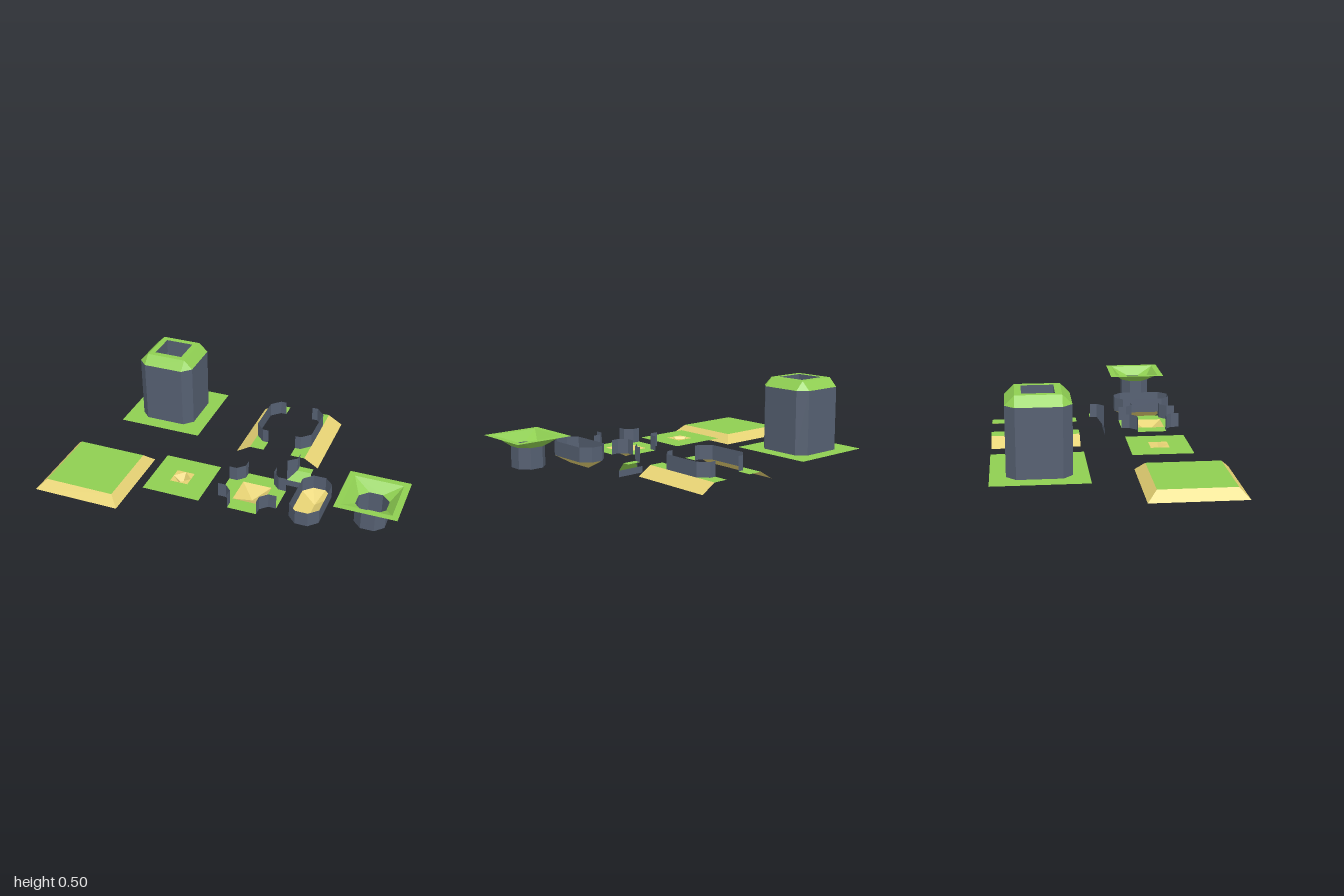
import * as THREE from 'three';

const LOW = 0.037, GROUND = 0.087, WALL = 0.17;
const GREEN = 0x8fcf52, SAND = 0xe6d274, SLATE = 0x566072;

const mat = (color) => new THREE.MeshStandardMaterial({ color, flatShading: true, side: THREE.DoubleSide });

function add(group, name, color, geometry) {
  const mesh = new THREE.Mesh(geometry, mat(color));
  mesh.name = name;
  group.add(mesh);
}

// Flat-sided surface from convex polygons, each a loop of [x, y, z]
function faces(polygons) {
  const pos = [];
  for (const p of polygons)
    for (let i = 1; i < p.length - 1; i++) pos.push(...p[0], ...p[i], ...p[i + 1]);
  const g = new THREE.BufferGeometry();
  g.setAttribute('position', new THREE.Float32BufferAttribute(pos, 3));
  g.computeVertexNormals();
  return g;
}

// Horizontal sheet with holes; outlines are loops of [x, z]
function sheet(outline, y, holes = []) {
  const pts = (loop) => loop.map(([x, z]) => new THREE.Vector2(x, -z));
  const shape = new THREE.Shape(pts(outline));
  holes.forEach((h) => shape.holes.push(new THREE.Path(pts(h))));
  return new THREE.ShapeGeometry(shape).rotateX(-Math.PI / 2).translate(0, y, 0);
}

// Band between a lower and an upper path with equal point counts
function band(lower, y0, upper, y1, closed = true) {
  const n = lower.length, polys = [];
  for (let i = 0; i < (closed ? n : n - 1); i++) {
    const j = (i + 1) % n, a = lower[i], b = lower[j], c = upper[j], d = upper[i];
    polys.push([[a[0], y0, a[1]], [b[0], y0, b[1]], [c[0], y1, c[1]]]);
    polys.push([[a[0], y0, a[1]], [c[0], y1, c[1]], [d[0], y1, d[1]]]);
  }
  return faces(polys);
}
const wall = (path, y0, y1, closed = true) => band(path, y0, path, y1, closed);

// Loops run +z, +x, -z, -x so that bands face outward
const rect = (hx, hz = hx) => [[-hx, hz], [hx, hz], [hx, -hz], [-hx, -hz]];
const octagon = (hx, hz, c) => [
  [-hx + c, hz], [hx - c, hz], [hx, hz - c], [hx, -hz + c],
  [hx - c, -hz], [-hx + c, -hz], [-hx, -hz + c], [-hx, hz - c]];
// Square with every corner doubled, to join onto an octagon
const doubled = (h) => [[-h, h], [h, h], [h, h], [h, -h], [h, -h], [-h, -h], [-h, -h], [-h, h]];
// Inverted pyramid below a rim
const pit = (rim, y0, y1) => faces(rim.map((p, i) => {
  const q = rim[(i + 1) % rim.length];
  return [[p[0], y1, p[1]], [q[0], y1, q[1]], [0, y0, 0]];
}));

function part(root, name, x, z) {
  const g = new THREE.Group();
  g.name = name;
  g.position.set(x, 0, z);
  root.add(g);
  return g;
}

export function createModel() {
  const root = new THREE.Group();
  root.name = 'terrainTileKit';

  // Raised plateau with sloping banks
  const plateau = part(root, 'plateau', -0.75, 0.373);
  add(plateau, 'plateauTop', GREEN, sheet(rect(0.2), GROUND));
  add(plateau, 'plateauBanks', SAND, band(rect(0.25), LOW, rect(0.2), GROUND));

  // Hollow tower standing on a grass tile
  const tower = part(root, 'tower', -0.585, -0.378);
  const shaft = octagon(0.167, 0.167, 0.05);
  add(tower, 'towerGround', GREEN, sheet(rect(0.25), GROUND, [shaft]));
  add(tower, 'towerWalls', SLATE, wall(shaft, GROUND, 0.453));
  add(tower, 'towerRim', GREEN, band(shaft, 0.453, doubled(0.117), 0.503));
  add(tower, 'towerRimTop', GREEN, sheet(rect(0.117), 0.503, [rect(0.083)]));
  add(tower, 'towerShaftLining', SLATE, wall(rect(0.083).reverse(), 0.42, 0.503));

  // Pair of mirrored bank tiles around an octagonal recess
  const banks = part(root, 'bankTiles', 0.165, -0.378);
  for (const s of [-1, 1]) {
    const recess = [[0.083, 0.167], [0.117, 0.167], [0.167, 0.117],
      [0.167, -0.117], [0.117, -0.167], [0.083, -0.167]].map(([x, z]) => [s * x, z]);
    const crest = [[s * 0.167, 0.25], [s * 0.167, -0.25]];
    const foot = [[s * 0.25, 0.25], [s * 0.25, -0.25]];
    // Each end tab is its own sheet, as the recess touches the crest
    for (const t of [-1, 1]) {
      const tab = [[0.083, 0.25], [0.167, 0.25], [0.167, 0.117], [0.117, 0.167], [0.083, 0.167]];
      add(banks, 'bankGrass', GREEN, sheet(tab.map(([x, z]) => [s * x, t * z]), GROUND));
    }
    add(banks, 'bankWall', SLATE, wall(recess, GROUND, WALL, false));
    const slope = s > 0 ? band(foot, LOW, crest, GROUND, false)
      : band(foot.reverse(), LOW, crest.reverse(), GROUND, false);
    add(banks, 'bankSlope', SAND, slope);
  }

  // Small corner piece: ledge, ramp, angled wall and a low front wall
  const corner = part(root, 'cornerPiece', 0.333, 0);
  add(corner, 'cornerLedge', GREEN, sheet([[0, 0], [0.082, 0], [0.082, -0.042], [0, -0.042]], GROUND));
  add(corner, 'cornerRamp', GREEN, faces([
    [[-0.048, LOW, 0.041], [0.082, LOW, 0.041], [0.082, GROUND, 0], [0, GROUND, 0]]]));
  add(corner, 'cornerWall', SLATE, faces([
    [[-0.048, LOW, 0.041], [0, GROUND, 0], [0, WALL, 0], [-0.048, WALL, 0.041]],
    [[0, GROUND, 0], [0, GROUND, -0.042], [0, WALL, -0.042], [0, WALL, 0]]]));
  add(corner, 'cornerFrontWall', SLATE, wall([[-0.083, 0.041], [0.082, 0.041]], 0, LOW, false));

  // Grass tile with a small sandy dimple
  const dimple = part(root, 'dimpleTile', -0.25, 0.29);
  const diamond = [[0, 0.052], [0.052, 0], [0, -0.052], [-0.052, 0]];
  add(dimple, 'dimpleGrass', GREEN, sheet(rect(0.167), GROUND, [rect(0.052)]));
  add(dimple, 'dimplePit', SAND, pit(diamond, LOW, GROUND));
  add(dimple, 'dimpleCorners', SAND, faces(rect(0.052).map(([x, z]) => {
    const tri = [[x, GROUND, z], [x, GROUND, 0], [0, GROUND, z]];
    return x * z > 0 ? tri : tri.reverse();
  })));

  // Cross-shaped tile with walled corner notches and a central pit
  const cross = part(root, 'crossTile', 0.167, 0.29);
  const notch = [[0.083, 0.167], [0.083, 0.122], [0.122, 0.083], [0.167, 0.083]];
  const outline = [];
  for (let k = 0; k < 4; k++) {
    const c = [1, 0, -1, 0][k], s = [0, 1, 0, -1][k];
    const turned = notch.map(([x, z]) => [x * c + z * s, -x * s + z * c]);
    outline.push(...turned);
    add(cross, 'crossNotchWall', SLATE, wall(turned, GROUND, WALL, false));
  }
  add(cross, 'crossGrass', GREEN, sheet(outline, GROUND, [rect(0.083)]));
  add(cross, 'crossPit', SAND, pit(rect(0.083), LOW, GROUND));

  // Long trough with a keel-shaped floor
  const trough = part(root, 'trough', 0.5, 0.29);
  const troughRim = octagon(0.083, 0.167, 0.048);
  const keel = troughRim.map(([, z]) => [0, Math.sign(z) * 0.083]);
  add(trough, 'troughWalls', SLATE, wall(troughRim, GROUND, WALL));
  add(trough, 'troughFloor', SAND, band(keel, LOW, troughRim, GROUND));

  // Funnel tile leading into an octagonal well
  const well = part(root, 'well', 0.833, 0.29);
  const tube = octagon(0.083, 0.083, 0.046);
  add(well, 'wellGrass', GREEN, sheet(rect(0.167), 0.253, [rect(0.133)]));
  add(well, 'wellFunnel', GREEN, band(tube, 0.203, doubled(0.133), 0.253));
  add(well, 'wellWalls', SLATE, wall(tube, GROUND, 0.203));
  add(well, 'wellFloor', GREEN, sheet(tube, GROUND));

  return root;
}
